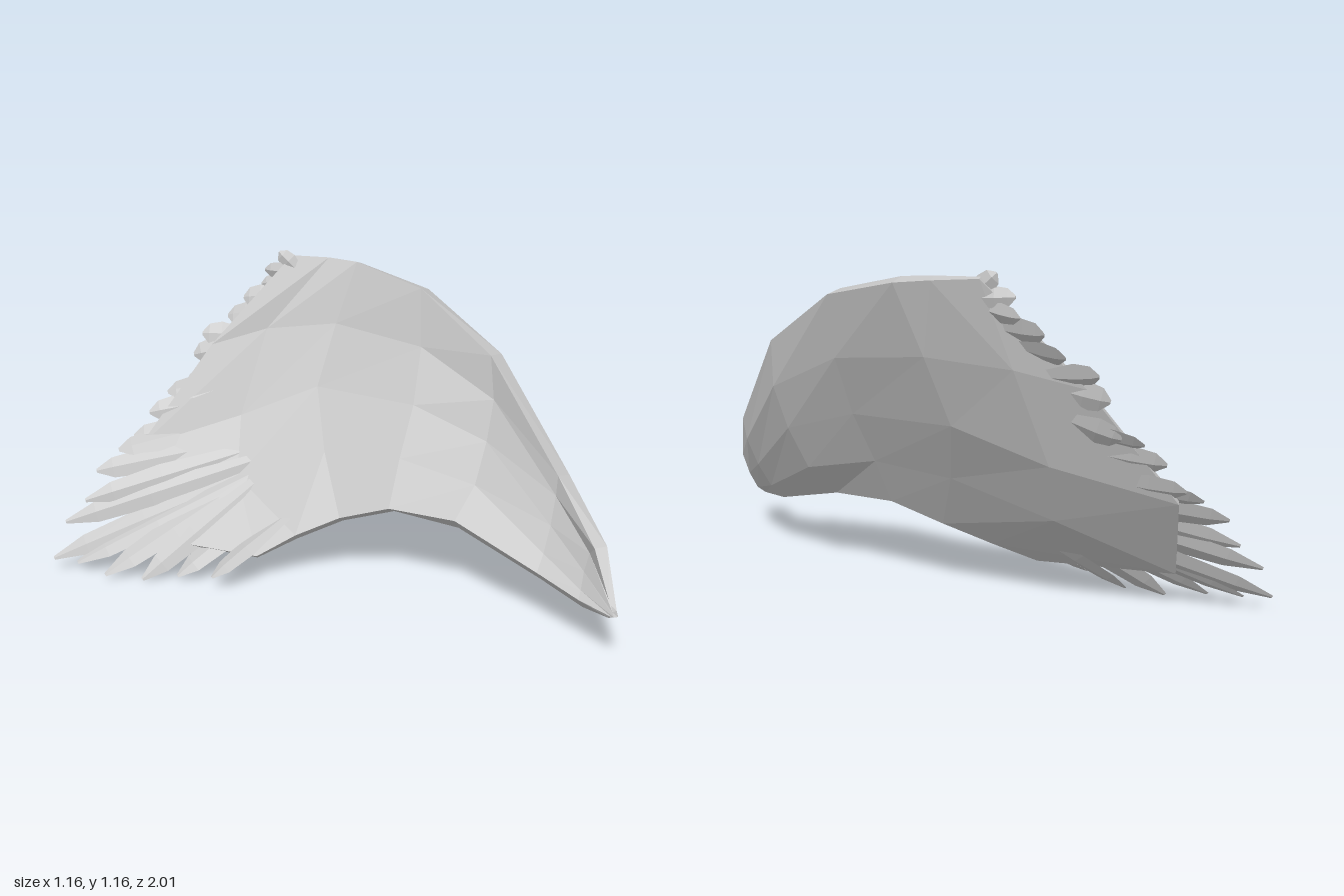
import * as THREE from 'three';

const V = (p) => new THREE.Vector3(...p);

// Closed, faceted solid through rings with equal, even point counts
function loft(rings) {
  const n = rings[0].length, pos = [];
  const quad = (a, b, c, d) => [a, b, c, a, c, d].forEach((p) => pos.push(p.x, p.y, p.z));
  for (let i = 0; i < rings.length - 1; i++) {
    const a = rings[i], b = rings[i + 1];
    for (let j = 0; j < n; j++) {
      const k = (j + 1) % n;
      quad(a[j], b[j], b[k], a[k]);
    }
  }
  // End caps as strips between the two sides of the ring
  const s = rings[0], e = rings[rings.length - 1];
  for (let j = 0; j < n / 2 - 1; j++) {
    quad(s[j], s[j + 1], s[n - 2 - j], s[n - 1 - j]);
    quad(e[j], e[n - 1 - j], e[n - 2 - j], e[j + 1]);
  }
  const g = new THREE.BufferGeometry();
  g.setAttribute('position', new THREE.Float32BufferAttribute(pos, 3));
  g.computeVertexNormals();
  return g;
}

// Mid-surface sections from shoulder tip to trailing edge, each bottom to top
const sections = [
  [[.25, .185, .97], [.243, .19, .99], [.24, .195, 1], [.245, .21, .99], [.25, .225, .97]],
  [[.275, .175, .84], [.31, .2, .83], [.345, .26, .82], [.365, .33, .83], [.33, .375, .87]],
  [[.3, .205, .65], [.355, .26, .64], [.41, .35, .63], [.455, .45, .62], [.467, .525, .62]],
  [[.28, .3, .3], [.395, .41, .3], [.475, .56, .29], [.53, .71, .28], [.548, .87, .25]],
  [[.21, .305, .05], [.3, .47, .02], [.4, .65, 0], [.49, .85, -.04], [.536, 1.06, -.08]],
  [[.12, .245, -.12], [.2, .45, -.27], [.295, .66, -.395], [.405, .89, -.4], [.495, 1.12, -.37]],
  [[0, .175, -.24], [0, .33, -.55], [.1, .54, -.63], [.25, .86, -.63], [.445, 1.13, -.48]],
  [[-.12, .105, -.33], [-.34, .13, -.77], [-.2, .42, -.9], [.09, .8, -.78], [.36, 1.135, -.6]],
].map((s) => s.map(V));
const halfThickness = [.008, .022, .028, .032, .03, .025, .018, .008];

// Feather tips along the ragged edge, bottom to top
const tips = [
  [-.28, .05, -.41], [-.32, .02, -.56], [-.41, .005, -.66], [-.5, .02, -.77],
  [-.53, .04, -.9], [-.58, .05, -.98], [-.5, .17, -1], [-.43, .25, -.96],
  [-.36, .35, -.97], [-.27, .42, -.94], [-.2, .46, -.93], [-.14, .55, -.9],
  [-.06, .62, -.88], [0, .64, -.84], [.04, .76, -.83], [.08, .84, -.82],
  [.18, .9, -.78], [.23, .97, -.74], [.29, 1.02, -.7], [.29, 1.08, -.68], [.325, 1.15, -.635],
].map(V);

// Point on the mid surface at section u, height v (0..1)
function surface(u, v) {
  const i = Math.min(Math.floor(u), 6), j = Math.min(Math.floor(v * 4), 3), f = v * 4 - j;
  const a = sections[i][j].clone().lerp(sections[i][j + 1], f);
  const b = sections[i + 1][j].clone().lerp(sections[i + 1][j + 1], f);
  return a.lerp(b, u - i);
}

function shellGeometry() {
  const rings = sections.map((s, i) => {
    const before = sections[Math.max(i - 1, 0)], after = sections[Math.min(i + 1, 7)];
    const offset = s.map((p, j) => {
      const du = after[j].clone().sub(before[j]);
      const dv = s[Math.min(j + 1, 4)].clone().sub(s[Math.max(j - 1, 0)]);
      return du.cross(dv).normalize().multiplyScalar(halfThickness[i]);
    });
    const outer = s.map((p, j) => p.clone().add(offset[j]));
    const inner = s.map((p, j) => p.clone().sub(offset[j]));
    return [...outer, ...inner.reverse()];
  });
  return loft(rings);
}

// Diamond-section blade from inside the shell to its tip
function featherGeometry(i) {
  const tip = tips[i], long = i < 8;
  let v = 0, best = Infinity;
  for (let k = 0; k <= 40; k++) {
    const d = surface(7, k / 40).distanceTo(tip);
    if (d < best) { best = d; v = k / 40; }
  }
  const root = surface(long ? 5.8 : 6.4, THREE.MathUtils.clamp(v, .03, .95));
  const d = tip.clone().sub(root).normalize();
  const along = tips[Math.min(i + 1, 20)].clone().sub(tips[Math.max(i - 1, 0)]);
  const n = d.clone().cross(along).normalize();
  const w = n.clone().cross(d);
  const half = i > 17 ? .034 : .05;
  const lift = i % 2 ? .004 : long ? -.008 : -.003;
  const rings = [[0, .5], [.55, 1], [.84, .8], [1, .15]].map(([t, s]) => {
    const c = root.clone().lerp(tip, t).addScaledVector(n, lift * (1 - t));
    const at = (axis, m) => c.clone().addScaledVector(axis, m * s);
    return [at(w, half), at(n, -.012), at(w, -half), at(n, .012)];
  });
  return loft(rings);
}

export function createModel() {
  const model = new THREE.Group();
  model.name = 'wing';
  const grey = new THREE.MeshStandardMaterial({ color: 0xc4c4c4 });
  grey.name = 'grey';

  const shell = new THREE.Mesh(shellGeometry(), grey);
  shell.name = 'wingShell';
  model.add(shell);

  const feathers = new THREE.Group();
  feathers.name = 'feathers';
  tips.forEach((_, i) => {
    const feather = new THREE.Mesh(featherGeometry(i), grey);
    feather.name = 'feather' + (i + 1);
    feathers.add(feather);
  });
  model.add(feathers);
  return model;
}
